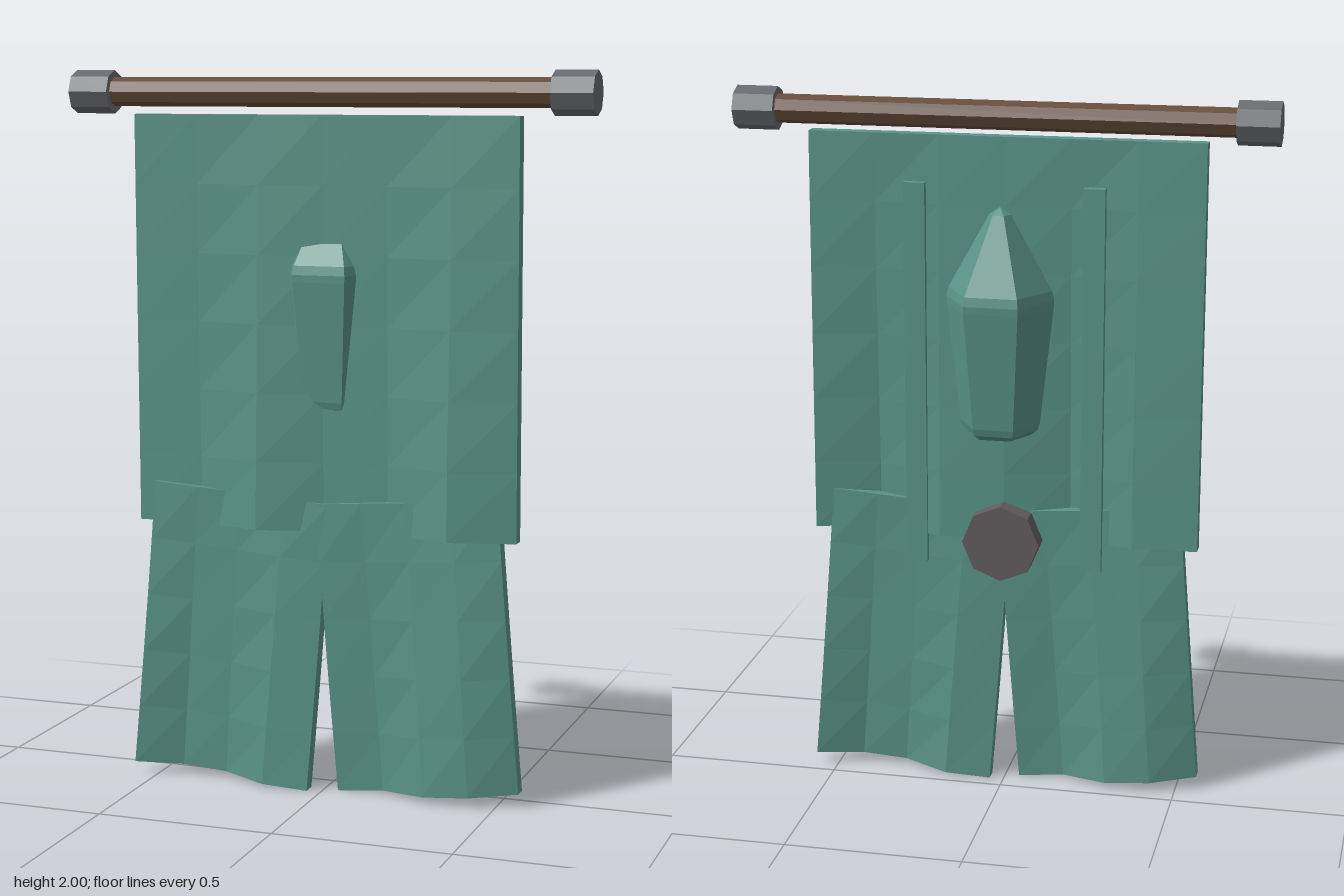
import * as THREE from 'three';

const mat = (name, color, flat = true) => {
  const m = new THREE.MeshStandardMaterial({ color, flatShading: flat });
  m.name = name;
  return m;
};

export function createModel() {
  const group = new THREE.Group();
  const cloth = mat('teal cloth', 0x5a9488);
  const wood = mat('brown wood', 0x664e3c);
  const iron = mat('grey iron', 0x686a6f);
  const stud = mat('dark grey stud', 0x625c5f);

  const add = (name, geometry, material, x = 0, y = 0, z = 0) => {
    const mesh = new THREE.Mesh(geometry, material);
    mesh.name = name;
    mesh.position.set(x, y, z);
    group.add(mesh);
    return mesh;
  };

  // Push a hanging sheet in and out; the ripple grows from its top to its hem
  const ripple = (geometry, top, bottom, wave) => {
    const p = geometry.attributes.position;
    for (let i = 0; i < p.count; i++) {
      const drop = THREE.MathUtils.clamp((top - p.getY(i)) / (top - bottom), 0, 1);
      p.setZ(i, p.getZ(i) + 0.08 + 0.035 * drop * wave(p.getX(i)));
    }
    geometry.computeVertexNormals();
    return geometry;
  };

  // Crossbar and its end caps
  const bar = new THREE.CylinderGeometry(0.04, 0.04, 1.3, 8).rotateZ(Math.PI / 2);
  add('crossbar', bar, wood, 0, 1.94, 0.05);
  for (const side of [-1, 1]) {
    const cap = new THREE.CylinderGeometry(0.06, 0.06, 0.115, 8).rotateZ(Math.PI / 2);
    add(side > 0 ? 'leftEndCap' : 'rightEndCap', cap, iron, side * 0.688, 1.94, 0.05);
  }

  // Main cloth
  const main = new THREE.BoxGeometry(1.1, 1.14, 0.04, 6, 6, 1).translate(0, 1.31, 0);
  add('upperCloth', ripple(main, 1.88, 0.74, (x) => -Math.sin(11.4 * x + 0.35)), cloth);

  // Two splayed tails below, and two flat straps behind
  for (const side of [-1, 1]) {
    const label = side > 0 ? 'left' : 'right';
    const tail = new THREE.BoxGeometry(0.52, 0.817, 0.04, 4, 5, 1)
      .rotateZ(side * 0.073)
      .translate(side * 0.27, 0.428, 0);
    const wave = (x) => Math.cos((2 * Math.PI * (x + 0.12)) / 0.48);
    add(label + 'Tail', ripple(tail, 0.85, 0.02, wave), cloth);
    add(label + 'BackStrap', new THREE.BoxGeometry(0.06, 1.09, 0.03), cloth, side * 0.25, 1.205, 0.055);
  }

  // Six-sided pointed boss that pokes through the cloth
  const profile = [[0, 1.05], [0.085, 1.065], [0.105, 1.08], [0.112, 1.1], [0.149, 1.43],
    [0.15, 1.45], [0.144, 1.475], [0.03, 1.68], [0, 1.7]].map(([r, y]) => new THREE.Vector2(r, y));
  add('pointedBoss', new THREE.LatheGeometry(profile, 6, Math.PI / 6), cloth);

  // Round stud on the back
  const disc = new THREE.CylinderGeometry(0.11, 0.11, 0.06, 8).rotateX(Math.PI / 2);
  add('backStud', disc, stud, 0, 0.74, 0.03);

  return group;
}
